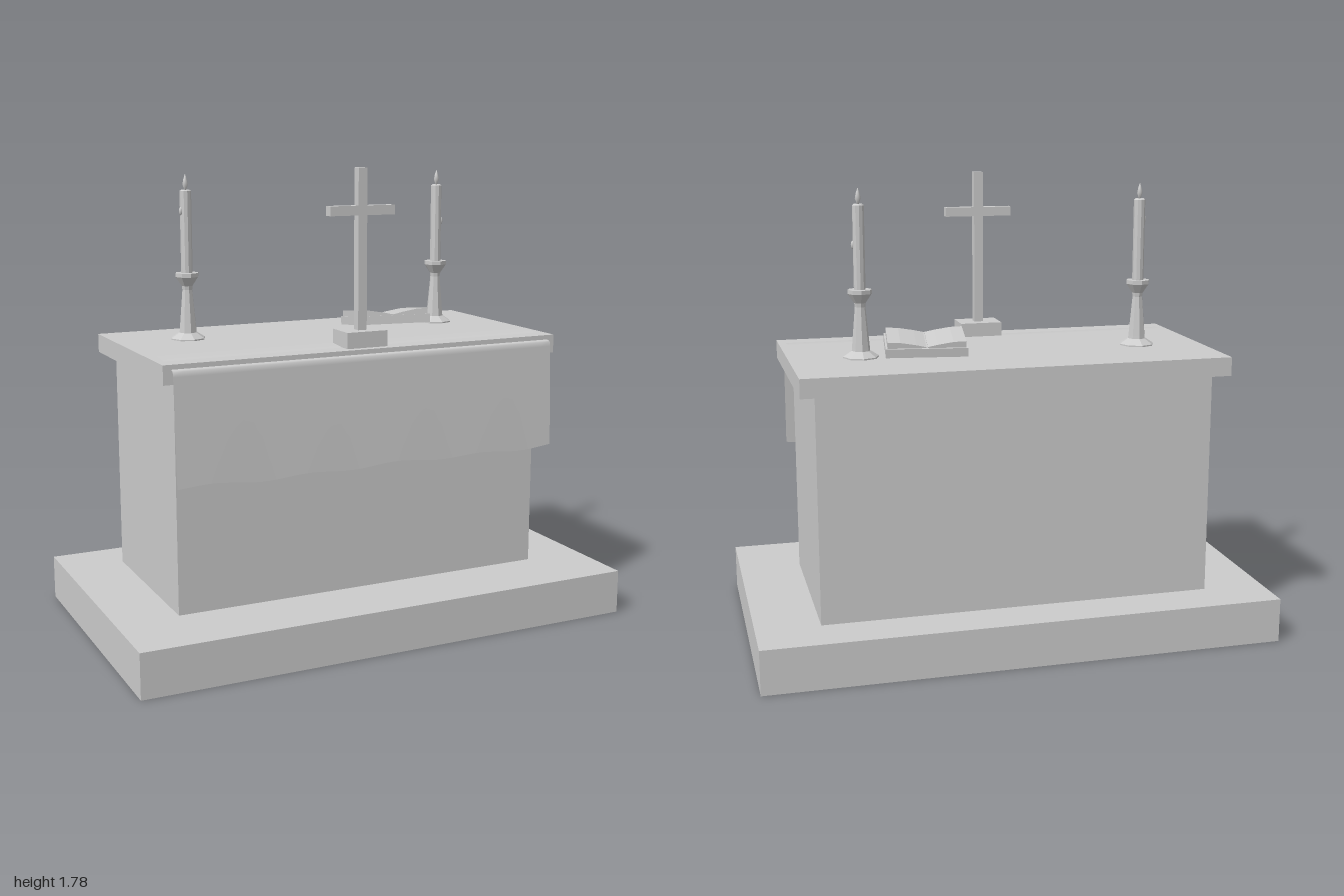
import * as THREE from 'three';

const stone = new THREE.MeshStandardMaterial({ color: 0xcccccc });
stone.name = 'pale grey';
const stoneFlat = stone.clone();
stoneFlat.name = 'pale grey faceted';
stoneFlat.flatShading = true;
const cloth = stone.clone();
cloth.name = 'pale grey cloth';
cloth.side = THREE.DoubleSide;

function add(parent, name, geometry, material = stone) {
  const mesh = new THREE.Mesh(geometry, material);
  mesh.name = name;
  parent.add(mesh);
  return mesh;
}

// Box given by its lower and upper limits on each axis
function box(parent, name, [x0, x1], [y0, y1], [z0, z1]) {
  const g = new THREE.BoxGeometry(x1 - x0, y1 - y0, z1 - z0);
  g.translate((x0 + x1) / 2, (y0 + y1) / 2, (z0 + z1) / 2);
  return add(parent, name, g);
}

function lathe(points, sides) {
  return new THREE.LatheGeometry(points.map(([r, y]) => new THREE.Vector2(r, y)), sides);
}

// Sheet over the table top, falling over the front with a wavy hem
function altarCloth() {
  const path = [[-0.41, 1.119], [0.18, 1.119], [0.27, 1.112], [0.355, 1.092],
    [0.363, 1.088], [0.366, 1.07], [0.385, 0.672]];
  const g = new THREE.PlaneGeometry(1.57, 1, 40, path.length - 1);
  const p = g.attributes.position;
  for (let i = 0; i < p.count; i++) {
    const row = Math.floor(i / 41);
    const x = p.getX(i);
    const hem = row === path.length - 1 ? 0.006 * Math.sin(x * 17) + 0.003 * Math.sin(x * 7 + 1) : 0;
    p.setXYZ(i, x, path[row][1] + hem, path[row][0]);
  }
  g.computeVertexNormals();
  return g;
}

function candlestick(x, dripSide, dripY) {
  const group = new THREE.Group();
  group.name = 'candlestick';
  add(group, 'candleHolder', lathe([[0, 1.115], [0.068, 1.115], [0.068, 1.124], [0.035, 1.145],
    [0.034, 1.155], [0.02, 1.31], [0.022, 1.325], [0.046, 1.36], [0.046, 1.375], [0, 1.375]], 8), stoneFlat);
  add(group, 'candle', lathe([[0.022, 1.37], [0.022, 1.685], [0.016, 1.69], [0, 1.688]], 10), stoneFlat);
  add(group, 'flame', lathe([[0, 1.685], [0.004, 1.69], [0.011, 1.71], [0.007, 1.73], [0, 1.75]], 8));
  const drip = add(group, 'waxDrip', new THREE.SphereGeometry(0.008, 8, 6));
  drip.scale.y = 2;
  drip.position.set(dripSide * 0.021, dripY, 0.004);
  group.position.set(x, 0, -0.14);
  return group;
}

// Open book with its two halves rising away from the spine
function openBook() {
  const book = new THREE.Group();
  book.name = 'openBook';
  box(book, 'cover', [-0.155, 0.155], [0, 0.034], [-0.108, 0.108]);
  for (const side of [-1, 1]) {
    const outline = [[0.003, 0.03], [0.148, 0.03], [0.148, 0.058], [0.1, 0.056], [0.04, 0.046], [0.003, 0.038]];
    const shape = new THREE.Shape(outline.map(([x, y]) => new THREE.Vector2(side * x, y)));
    const g = new THREE.ExtrudeGeometry(shape, { depth: 0.2, bevelEnabled: false });
    g.translate(0, 0, -0.1);
    add(book, side < 0 ? 'rightPages' : 'leftPages', g);
  }
  book.rotation.order = 'YXZ';
  book.rotation.set(-0.12, -0.14, 0);
  book.position.set(0.293, 1.132, -0.1);
  return book;
}

export function createModel() {
  const model = new THREE.Group();
  model.name = 'altar';

  // Stone table
  box(model, 'plinth', [-1, 1], [0, 0.172], [-0.58, 0.58]);
  box(model, 'body', [-0.76, 0.757], [0.172, 1.04], [-0.4, 0.297]);
  box(model, 'tableTop', [-0.815, 0.815], [1.04, 1.112], [-0.453, 0.345]);
  add(model, 'altarCloth', altarCloth(), cloth);

  // Standing cross
  const cross = new THREE.Group();
  cross.name = 'cross';
  box(cross, 'crossBase', [-0.084, 0.084], [1.105, 1.173], [0.19, 0.313]);
  box(cross, 'crossUpright', [-0.018, 0.018], [1.173, 1.777], [0.234, 0.27]);
  box(cross, 'crossArm', [-0.134, 0.134], [1.602, 1.638], [0.234, 0.27]);
  model.add(cross);

  model.add(candlestick(-0.547, -1, 1.61), candlestick(0.547, 1, 1.54));
  model.add(openBook());
  return model;
}
